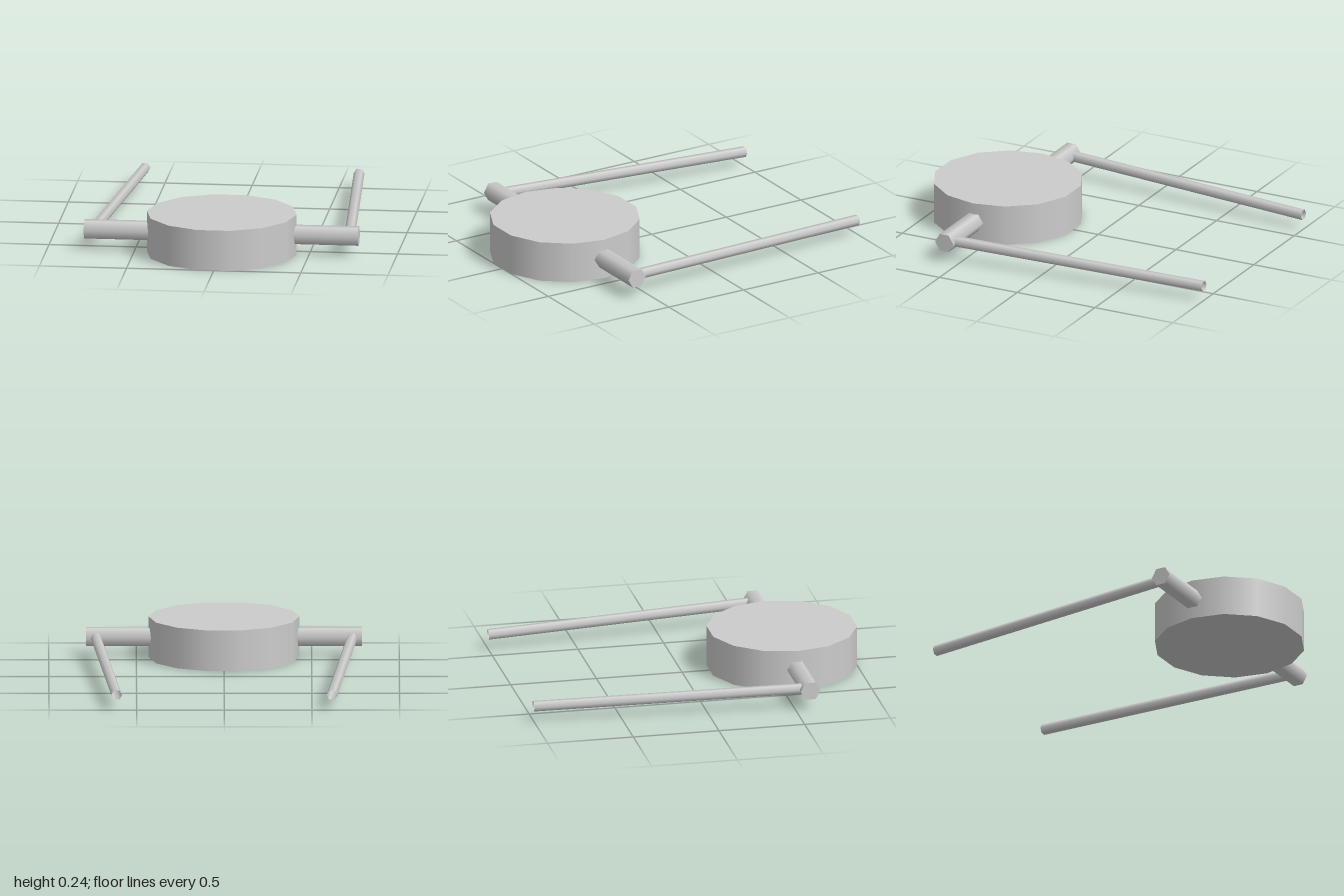
import * as THREE from 'three';

export function createModel() {
  const model = new THREE.Group();
  const grey = new THREE.MeshStandardMaterial({ color: 0xcccccc, side: THREE.DoubleSide });
  grey.name = 'grey';

  const add = (name, geometry, x, y, z) => {
    const mesh = new THREE.Mesh(geometry, grey);
    mesh.name = name;
    mesh.position.set(x, y, z);
    model.add(mesh);
  };

  // Fourteen-sided drum, corners pointing sideways
  add('drum', new THREE.CylinderGeometry(0.43, 0.43, 0.236, 14).rotateY(Math.PI / 2), 0, 0.118, 0.581);

  for (const [side, s] of [['left', 1], ['right', -1]]) {
    // Hexagonal stub axle, starting inside the drum
    add(side + 'Axle', new THREE.CylinderGeometry(0.058, 0.058, 0.45, 6).rotateZ(Math.PI / 2), s * 0.562, 0.12, 0.581);

    // Open hexagonal arm, slanted inwards and down towards the back with square-cut ends
    const length = 1.55;
    const arm = new THREE.CylinderGeometry(0.031, 0.031, length, 6, 1, true)
      .rotateY(Math.PI / 2).rotateX(Math.PI / 2);
    const slant = new THREE.Matrix4().set(
      1, 0, s * 0.076, 0,
      0, 1, 0.021, 0,
      0, 0, 1, 0,
      0, 0, 0, 1);
    arm.applyMatrix4(slant);
    add(side + 'Arm', arm, s * 0.673, 0.104, -1 + length / 2);
  }
  return model;
}
